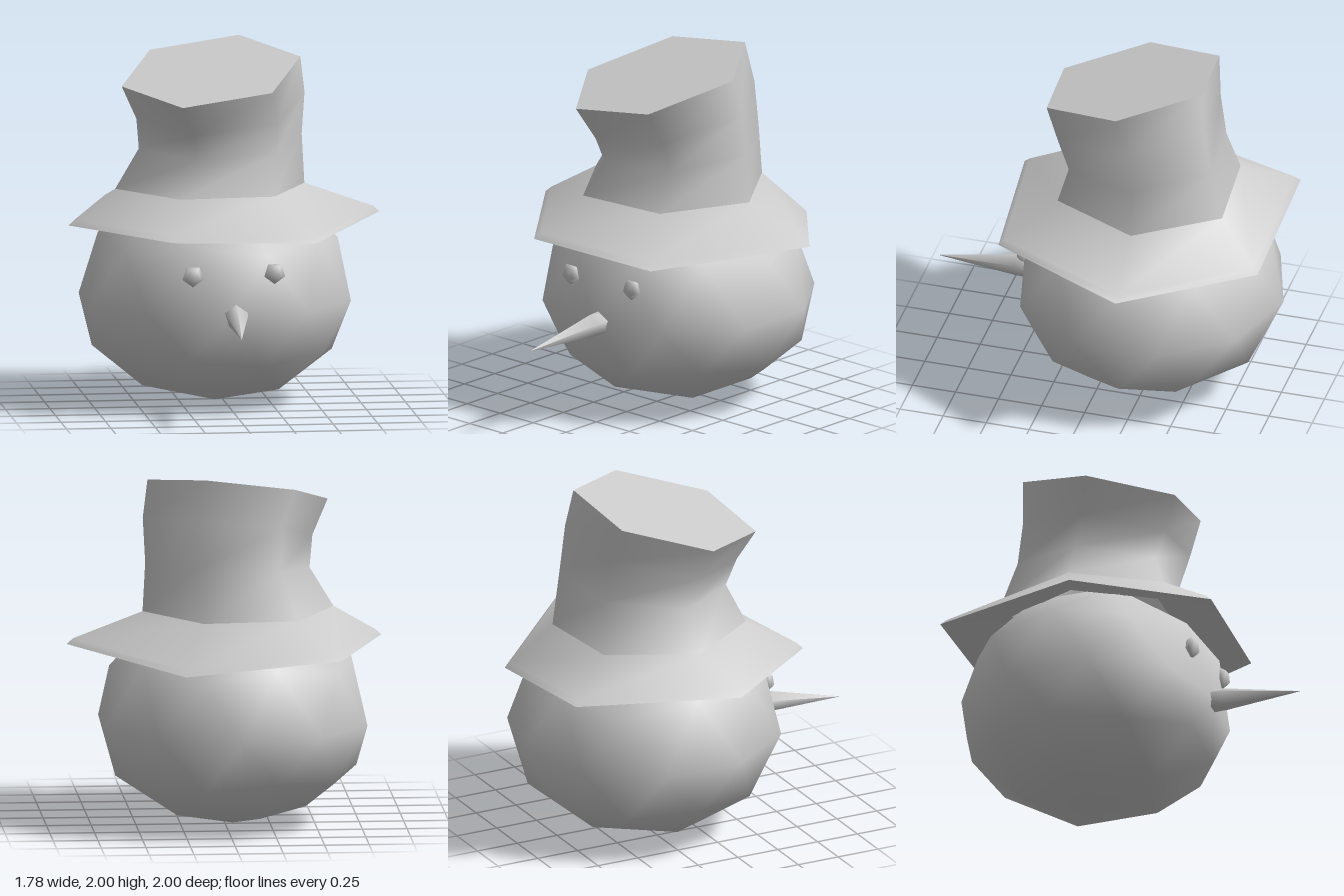
import * as THREE from 'three';
import { mergeVertices } from 'three/addons/utils/BufferGeometryUtils.js';

const V = (x, y, z) => new THREE.Vector3(x, y, z);
const material = new THREE.MeshStandardMaterial({ color: 0xcccccc, side: THREE.DoubleSide });

// Smooth skin through closed rings of points with equal counts.
function loft(rings) {
  const n = rings[0].length, index = [];
  for (let i = 0; i < rings.length - 1; i++) {
    for (let j = 0; j < n; j++) {
      const a = i * n + j, b = i * n + (j + 1) % n;
      index.push(a, a + n, b, b, a + n, b + n);
    }
  }
  const geo = new THREE.BufferGeometry().setFromPoints(rings.flat());
  geo.setIndex(index);
  geo.computeVertexNormals();
  return geo;
}

// Tilted hexagon of the hat around a centre.
function hexRing([x, y, z, r, tiltX, tiltZ]) {
  return Array.from({ length: 6 }, (_, i) => {
    const a = (i * 60 - 5) * Math.PI / 180;
    const dx = r * Math.cos(a), dz = r * Math.sin(a);
    return V(x + dx, y + tiltX * dx + tiltZ * dz, z + dz);
  });
}

// Pentagon facing +z, point up.
function pentagon(x, y, z, r) {
  return Array.from({ length: 5 }, (_, i) => {
    const a = Math.PI / 2 - i * Math.PI * 0.4;
    return V(x + r * Math.cos(a), y + r * Math.sin(a), z);
  });
}

// Low-poly ball with a pole at the bottom, taller above its equator.
function headGeometry() {
  let geo = new THREE.IcosahedronGeometry(1, 1);
  geo.deleteAttribute('uv');
  geo.deleteAttribute('normal');
  geo = mergeVertices(geo, 1e-3);
  geo.rotateZ(-Math.atan2(1, (1 + Math.sqrt(5)) / 2));
  const p = geo.attributes.position;
  for (let i = 0; i < p.count; i++) {
    const y = p.getY(i);
    const z = Math.min(-0.226 + 0.774 * p.getZ(i), 0.48); // flattened where the nose sits
    p.setXYZ(i, -0.045 + 0.774 * p.getX(i), 0.58 + y * (y > 0 ? 0.72 : 0.58), z);
  }
  geo.computeVertexNormals();
  return geo;
}

export function createModel() {
  const model = new THREE.Group();
  const add = (name, geo, parent = model) => {
    const mesh = new THREE.Mesh(geo, material);
    mesh.name = name;
    parent.add(mesh);
    return mesh;
  };

  add('head', headGeometry());

  // Eyes
  for (const [name, x, y] of [['rightEye', -0.25, 0.8], ['leftEye', 0.21, 0.81]]) {
    const geo = new THREE.SphereGeometry(0.062, 5, 4);
    geo.rotateX(Math.PI / 2);
    geo.rotateZ(Math.PI / 2);
    geo.scale(1, 1, 0.6);
    add(name, geo).position.set(x, y, 0.437);
  }

  // Carrot nose
  add('nose', loft([
    pentagon(-0.01, 0.575, 0.38, 0.07),
    pentagon(-0.012, 0.572, 0.54, 0.064),
    pentagon(-0.045, 0.525, 1.0, 0.001),
  ]));

  // Hat
  const hat = new THREE.Group();
  hat.name = 'hat';
  model.add(hat);

  const crown = [
    [-0.075, 1.21, -0.21, 0.54, 0, 0],
    [-0.015, 1.46, -0.22, 0.465, 0.05, -0.09],
    [-0.02, 1.67, -0.17, 0.48, 0.11, -0.2],
    [-0.08, 1.87, -0.115, 0.51, 0.114, -0.233],
  ].map(hexRing);
  add('crown', loft(crown), hat);
  add('crownTop', loft([crown[3], Array(6).fill(V(-0.08, 1.87, -0.115))]), hat);

  // Brim: uneven corners, a narrow bevel, then up to the crown
  const rim = [
    V(0.89, 1.035, -0.29), V(0.43, 0.985, 0.52), V(-0.38, 1.015, 0.6),
    V(-0.89, 1.025, -0.05), V(-0.6, 1.03, -0.94), V(0.27, 0.95, -0.94),
  ];
  const bevel = rim.map(p => p.clone().lerp(V(0, p.y, -0.2), 0.04).add(V(0, 0.032, 0)));
  add('brimTop', loft([rim, bevel, crown[0]]), hat);
  add('brimUnderside', loft([hexRing([-0.075, 1.12, -0.21, 0.5, 0, 0]), rim]), hat);

  return model;
}
